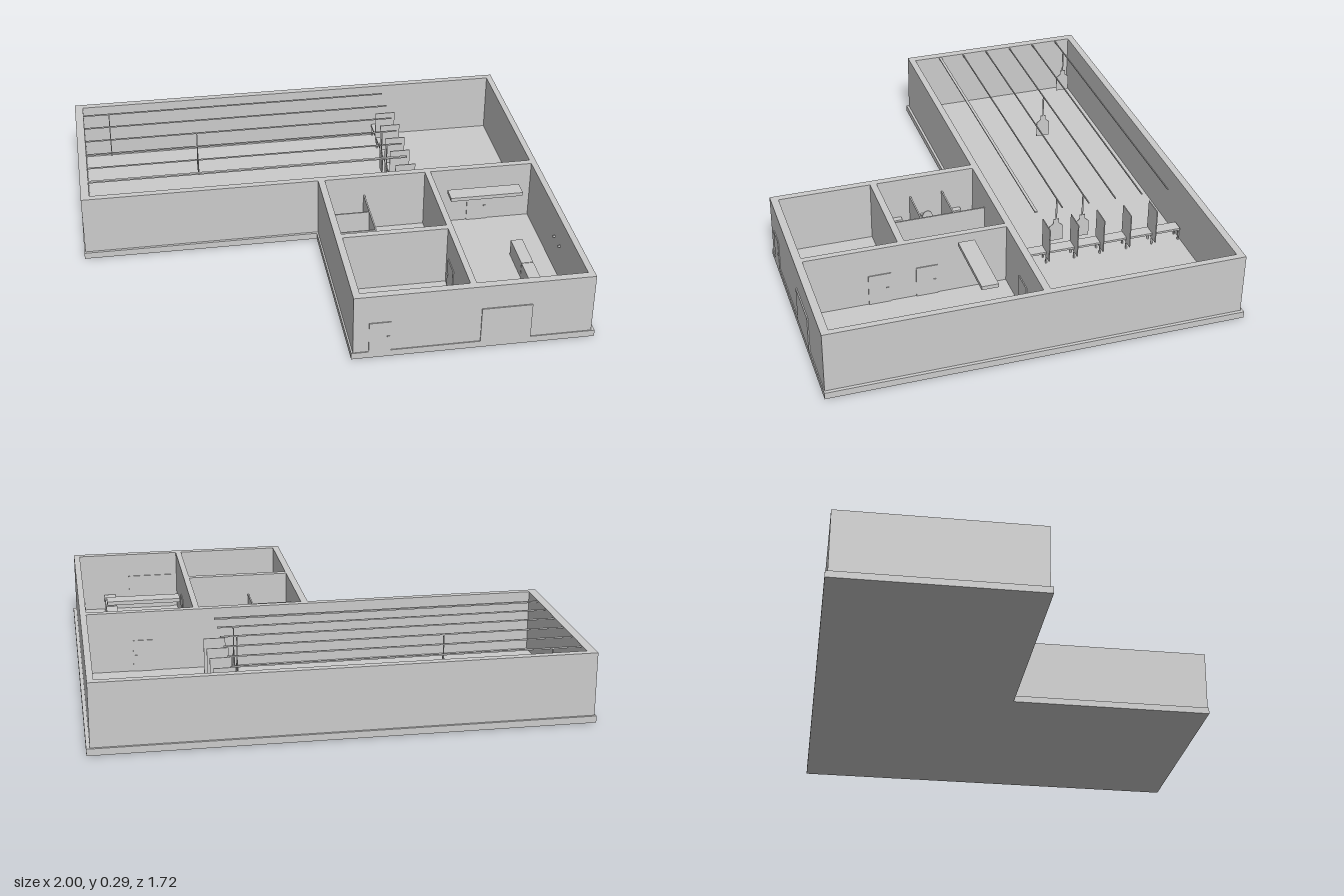
import * as THREE from 'three';

const mat = new THREE.MeshStandardMaterial({ color: 0xcccccc });
const FLOOR = 0.028, TOP = 0.29;

// Box given by its minimum and maximum on each axis
function box(parent, name, x0, x1, y0, y1, z0, z1) {
  const m = new THREE.Mesh(new THREE.BoxGeometry(x1 - x0, y1 - y0, z1 - z0), mat);
  m.position.set((x0 + x1) / 2, (y0 + y1) / 2, (z0 + z1) / 2);
  m.name = name;
  parent.add(m);
}

function group(parent, name) {
  const g = new THREE.Group();
  g.name = name;
  parent.add(g);
  return g;
}

// Plan outline in (x, z) raised from y0 to y1; holes run against the outline
function plan(parent, name, points, holes, y0, y1) {
  const path = (pts) => pts.map(([x, z]) => new THREE.Vector2(x, -z));
  const shape = new THREE.Shape(path(points));
  for (const [x0, x1, z0, z1] of holes) {
    shape.holes.push(new THREE.Path(path([[x0, z0], [x0, z1], [x1, z1], [x1, z0]])));
  }
  const geo = new THREE.ExtrudeGeometry(shape, { depth: y1 - y0, bevelEnabled: false });
  geo.rotateX(-Math.PI / 2).translate(0, y0, 0);
  const m = new THREE.Mesh(geo, mat);
  m.name = name;
  parent.add(m);
}

const lShape = (x0, xm, x1, z0, zm, z1) =>
  [[x0, z0], [x1, z0], [x1, z1], [xm, z1], [xm, zm], [x0, zm]];

// Toilet facing +x, with its back against x = 0
function toilet(parent, x, z, lidOpen) {
  const g = group(parent, 'toilet');
  g.position.set(x, FLOOR, z);
  box(g, 'cistern', 0.002, 0.026, 0.035, 0.078, -0.023, 0.023);
  const bowl = new THREE.Mesh(new THREE.LatheGeometry([[0, 0], [0.014, 0], [0.012, 0.015],
    [0.02, 0.032], [0.023, 0.04], [0.015, 0.04], [0.009, 0.025], [0, 0.022]]
    .map(([r, y]) => new THREE.Vector2(r, y)), 20), mat);
  bowl.name = 'bowl';
  bowl.scale.x = 1.4;
  bowl.position.x = 0.058;
  g.add(bowl);
  box(g, 'foot', 0.004, 0.05, 0, 0.035, -0.012, 0.012);
  const lid = new THREE.Mesh(new THREE.CylinderGeometry(0.023, 0.023, 0.004, 20), mat);
  lid.name = 'lid';
  lid.scale.x = 1.4;
  lid.position.set(0.058, 0.043, 0);
  if (lidOpen) {
    lid.rotation.z = Math.PI / 2;
    lid.position.set(0.029, 0.072, 0);
  }
  g.add(lid);
}

// Door leaf showing on both faces of a wall; handle gives its place along the leaf
function door(parent, name, axis, a0, a1, w0, w1, height, out, handle) {
  const g = group(parent, name);
  const put = (n, p0, p1, y0, y1, q0, q1) => axis === 'x'
    ? box(g, n, p0, p1, y0, y1, q0, q1) : box(g, n, q0, q1, y0, y1, p0, p1);
  put('leaf', a0, a1, FLOOR, FLOOR + height, w0 - out, w1 + out);
  if (handle) {
    put('handle', handle - 0.005, handle + 0.005, 0.095, 0.1, w0 - out - 0.004, w1 + out + 0.004);
  }
}

export function createModel() {
  const root = new THREE.Group();
  root.name = 'building';

  // Slab and walls with their rooms left open at the top
  plan(root, 'baseSlab', lShape(-1, 0.01, 1, -0.861, -0.009, 0.856), [], 0, FLOOR);
  plan(root, 'walls', lShape(-0.995, 0.017, 0.986, -0.851, -0.02, 0.852), [
    [-0.959, 0.96, -0.821, -0.048],
    [0.046, 0.485, -0.019, 0.402],
    [0.046, 0.485, 0.43, 0.82],
    [0.51, 0.96, -0.019, 0.82],
  ], FLOOR, TOP);

  // Doors
  door(root, 'sideDoor', 'x', 0.08, 0.168, 0.82, 0.852, 0.137, 0.004, 0.157);
  door(root, 'entranceDoor', 'x', 0.53, 0.735, 0.82, 0.852, 0.157, 0.005, 0);
  door(root, 'hallDoor', 'x', 0.68, 0.77, -0.048, -0.019, 0.137, 0.004, 0.759);
  door(root, 'washroomDoor', 'z', 0.272, 0.362, 0.485, 0.51, 0.137, 0.004, 0.286);
  door(root, 'storeDoor', 'z', 0.467, 0.56, 0.485, 0.51, 0.137, 0.004, 0.481);

  // Overhead rails along each lane
  const rails = group(root, 'rails');
  const lanes = [-0.754, -0.636, -0.519, -0.401, -0.285, -0.171];
  lanes.forEach((z, i) => {
    const w = i === 5 ? 0.006 : 0.002;
    box(rails, 'rail', -0.959, 0.437, 0.281, 0.287, z - w, z + w);
  });

  // Hanging boards
  for (const [x, lane] of [[-0.843, 0], [-0.459, 2], [0.37, 3], [0.37, 4]]) {
    const z = lanes[lane];
    const g = group(root, 'hangingBoard');
    box(g, 'hanger', x - 0.002, x + 0.002, 0.175, 0.282, z - 0.003, z + 0.003);
    const s = new THREE.Shape([[-0.03, 0], [0.03, 0], [0.03, 0.07], [0.012, 0.085],
      [0.012, 0.105], [-0.012, 0.105], [-0.012, 0.085], [-0.03, 0.07]]
      .map(([u, v]) => new THREE.Vector2(u, v)));
    const geo = new THREE.ExtrudeGeometry(s, { depth: 0.004, bevelEnabled: false });
    geo.rotateY(Math.PI / 2).translate(x - 0.002, 0.08, z);
    const board = new THREE.Mesh(geo, mat);
    board.name = 'board';
    g.add(board);
  }

  // Bench with dividers between the lanes
  const bench = group(root, 'bench');
  const dividers = [-0.691, -0.575, -0.456, -0.341, -0.217];
  box(bench, 'benchTop', 0.401, 0.453, 0.077, 0.086, -0.817, -0.057);
  for (const z of dividers) {
    box(bench, 'divider', 0.397, 0.487, 0.06, 0.215, z - 0.002, z + 0.002);
  }
  for (const z of [-0.812, ...dividers, -0.062]) {
    for (const x of [0.406, 0.448]) {
      box(bench, 'leg', x - 0.003, x + 0.003, FLOOR, 0.077, z - 0.003, z + 0.003);
    }
  }

  // Washroom cubicles
  const washroom = group(root, 'washroom');
  for (const z of [0.117, 0.258]) {
    box(washroom, 'partition', 0.046, 0.22, 0.04, 0.2, z - 0.003, z + 0.003);
  }
  box(washroom, 'cubicleFront', 0.216, 0.222, 0.04, 0.2, -0.019, 0.402);
  [0.062, 0.191, 0.323].forEach((z, i) => toilet(washroom, 0.046, z, i === 1));

  // Reception: counters, high shelf and wall hooks
  for (const [z0, z1] of [[0.279, 0.452], [0.455, 0.631], [0.638, 0.811]]) {
    box(root, 'counter', 0.802, 0.853, FLOOR, 0.1, z0, z1);
  }
  box(root, 'highShelf', 0.552, 0.864, 0.268, 0.284, 0.129, 0.198);
  for (const z of [0.386, 0.461]) {
    box(root, 'wallHook', 0.95, 0.961, 0.17, 0.18, z - 0.003, z + 0.003);
  }
  return root;
}
